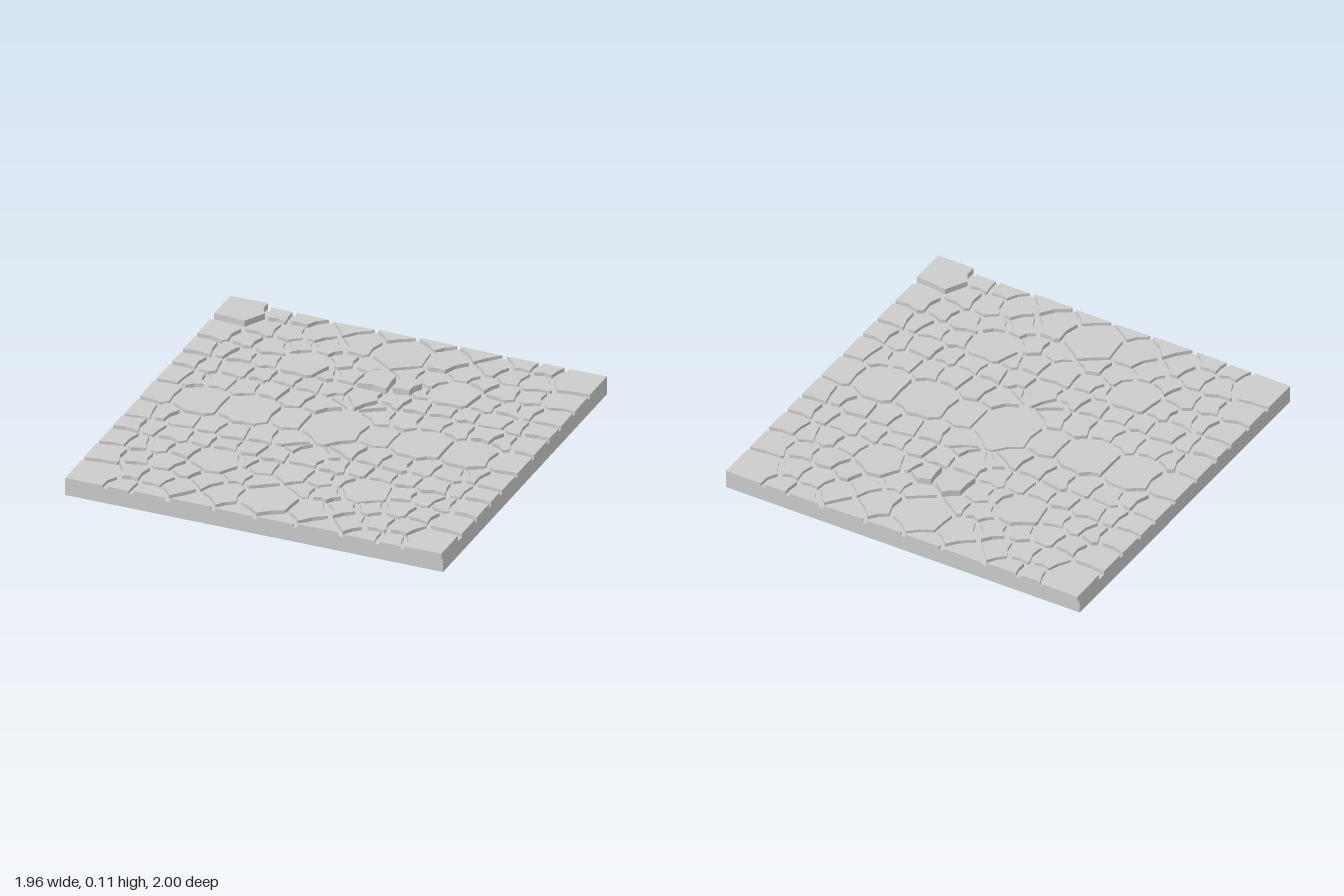
import * as THREE from 'three';

const HALF = 0.98, BED = 0.078, GAP = 0.012;

// One quadrant of paving: [x, z, radius], mirrored across both axes.
const ROWS = [
  // stones along the two centre lines
  [[0, 0, 0.16], [0, 0.34, 0.08], [0, 0.5, 0.09], [0, 0.8, 0.14]],
  [[0.12, 0, 0.03], [0.22, 0, 0.09], [0.45, 0, 0.14], [0.7, 0, 0.13], [0.91, 0, 0.1]],
  // rows moving outward
  [[0.16, 0.19, 0.07], [0.29, 0.21, 0.08], [0.42, 0.23, 0.08], [0.55, 0.21, 0.07], [0.69, 0.22, 0.07], [0.81, 0.18, 0.06], [0.93, 0.2, 0.09]],
  [[0.11, 0.27, 0.03], [0.16, 0.36, 0.07], [0.28, 0.34, 0.07], [0.4, 0.35, 0.07], [0.53, 0.35, 0.06], [0.67, 0.36, 0.08], [0.79, 0.34, 0.05], [0.92, 0.35, 0.08]],
  [[0.15, 0.51, 0.07], [0.25, 0.48, 0.05], [0.39, 0.53, 0.12], [0.57, 0.5, 0.07], [0.69, 0.49, 0.07], [0.79, 0.52, 0.06], [0.92, 0.5, 0.09]],
  [[0.11, 0.64, 0.06], [0.23, 0.63, 0.07], [0.48, 0.68, 0.07], [0.6, 0.63, 0.08], [0.74, 0.65, 0.07], [0.9, 0.67, 0.1]],
  [[0.12, 0.81, 0.03], [0.22, 0.82, 0.1], [0.35, 0.74, 0.08], [0.45, 0.84, 0.08], [0.57, 0.8, 0.08], [0.71, 0.79, 0.08], [0.88, 0.88, 0.13]],
  [[0.1, 0.95, 0.05], [0.33, 0.94, 0.06], [0.57, 0.94, 0.06], [0.7, 0.93, 0.06]],
];

// Repeatable value in 0..1 for a position
function hash(x, z) {
  const s = Math.sin(Math.round(x * 1000) * 12.9898 + Math.round(z * 1000) * 78.233) * 43758.5453;
  return s - Math.floor(s);
}

// Keep the part of a polygon where p . (nx, nz) <= limit
function clip(poly, nx, nz, limit) {
  const out = [];
  poly.forEach((a, i) => {
    const b = poly[(i + 1) % poly.length];
    const da = a[0] * nx + a[1] * nz - limit, db = b[0] * nx + b[1] * nz - limit;
    if (da <= 0) out.push(a);
    if (da * db < 0) {
      const t = da / (da - db);
      out.push([a[0] + (b[0] - a[0]) * t, a[1] + (b[1] - a[1]) * t]);
    }
  });
  return out;
}

// Outline of one stone: its share of the ground, less the joint
function stoneOutline(site, sites) {
  let poly = [[-HALF, -HALF], [HALF, -HALF], [HALF, HALF], [-HALF, HALF]];
  for (const other of sites) {
    if (other === site) continue;
    const dx = other.x - site.x, dz = other.z - site.z, d = Math.hypot(dx, dz);
    const reach = (d * d + site.r ** 2 - other.r ** 2) / (2 * d) - GAP;
    const nx = dx / d, nz = dz / d;
    poly = clip(poly, nx, nz, site.x * nx + site.z * nz + reach);
  }
  // Chip the longer edges inward, leaving the rim of the slab straight
  const out = [];
  poly.forEach((a, i) => {
    const b = poly[(i + 1) % poly.length];
    out.push(a);
    const len = Math.hypot(b[0] - a[0], b[1] - a[1]);
    const onRim = [0, 1].some(k => Math.abs(a[k]) > HALF - 1e-4 && Math.abs(b[k]) > HALF - 1e-4);
    if (len < 0.07 || onRim) return;
    const mx = (a[0] + b[0]) / 2, mz = (a[1] + b[1]) / 2;
    const dent = 0.016 * hash(Math.abs(mx), Math.abs(mz)) / len;
    out.push([mx - (b[1] - a[1]) * dent, mz + (b[0] - a[0]) * dent]);
  });
  return out;
}

function makeStone(site, sites, material) {
  const outline = stoneOutline(site, sites);
  if (outline.length < 3) return null;
  const shape = new THREE.Shape(outline.map(([x, z]) => new THREE.Vector2(x, -z)));
  const geo = new THREE.ExtrudeGeometry(shape, { depth: 1, bevelEnabled: false });
  geo.rotateX(-Math.PI / 2);

  // Each stone sits at its own height with a slight tilt
  const { x, z } = site;
  const corner = Math.abs(x) > 0.8 && Math.abs(z) > 0.8 && x * z > 0;
  const raised = z < -0.4 && z > -0.6 && x > -0.05 && x < 0.2;
  const height = corner ? 0.108 : raised ? 0.111 : 0.092 + 0.007 * hash(x + 3, z);
  const tiltX = (hash(x, z + 5) - 0.5) * 0.04, tiltZ = (hash(x + 7, z) - 0.5) * 0.04;
  const pos = geo.attributes.position;
  for (let i = 0; i < pos.count; i++) {
    const top = height + (pos.getX(i) - x) * tiltX + (pos.getZ(i) - z) * tiltZ;
    pos.setY(i, pos.getY(i) > 0.5 ? top : BED - 0.004);
  }
  // Two opposite corner stones overhang the slab
  if (corner) geo.translate(0, 0, Math.sign(z) * (1 - HALF));
  geo.computeVertexNormals();
  const mesh = new THREE.Mesh(geo, material);
  mesh.name = 'pavingStone';
  return mesh;
}

export function createModel() {
  const group = new THREE.Group();
  group.name = 'stonePavingTile';
  const material = new THREE.MeshStandardMaterial({ color: 0xcccccc, flatShading: true });

  // Slab, made of two halves
  for (const side of [-1, 1]) {
    const half = new THREE.Mesh(new THREE.BoxGeometry(HALF * 2, BED, HALF), material);
    half.name = side < 0 ? 'backSlab' : 'frontSlab';
    half.position.set(0, BED / 2, side * HALF / 2);
    group.add(half);
  }

  // Mirrored stone layout
  const sites = [];
  for (const [x, z, r] of ROWS.flat())
    for (const sx of x ? [1, -1] : [1])
      for (const sz of z ? [1, -1] : [1]) sites.push({ x: x * sx, z: z * sz, r });

  const stones = new THREE.Group();
  stones.name = 'pavingStones';
  for (const site of sites) {
    const stone = makeStone(site, sites, material);
    if (stone) stones.add(stone);
  }
  group.add(stones);
  return group;
}
